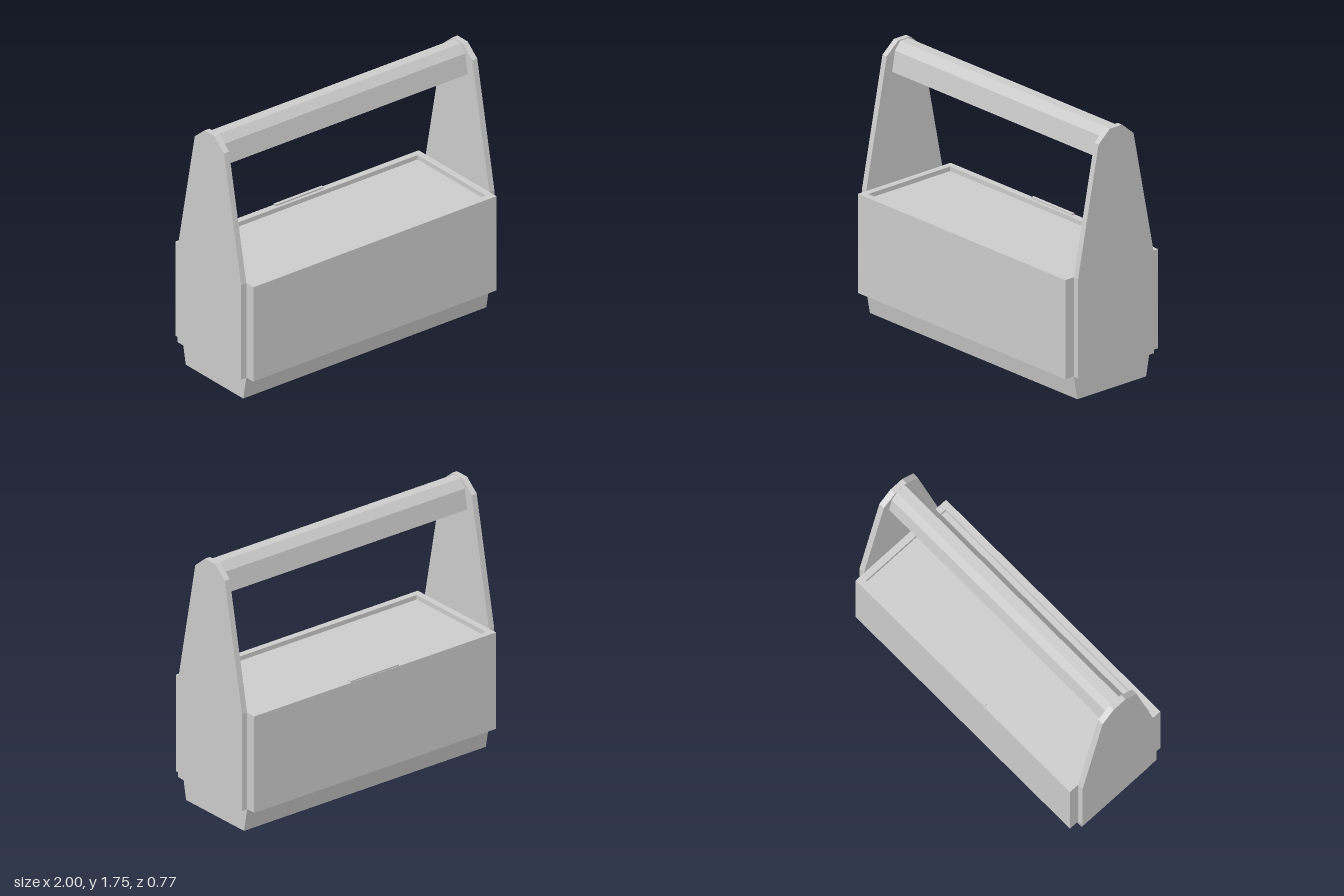
import * as THREE from 'three';

const material = new THREE.MeshStandardMaterial({ color: 0xcccccc, flatShading: true });

// Extrude a (z, y) profile along x, centred on the given x.
function extrudeAlongX(name, points, length, x = 0) {
  const shape = new THREE.Shape(points.map(([z, y]) => new THREE.Vector2(-z, y)));
  const geometry = new THREE.ExtrudeGeometry(shape, { depth: length, bevelEnabled: false });
  geometry.translate(0, 0, -length / 2);
  geometry.rotateY(Math.PI / 2);
  geometry.translate(x, 0, 0);
  const mesh = new THREE.Mesh(geometry, material);
  mesh.name = name;
  return mesh;
}

function box(name, w, h, d, x, y, z) {
  const mesh = new THREE.Mesh(new THREE.BoxGeometry(w, h, d), material);
  mesh.name = name;
  mesh.position.set(x, y, z);
  return mesh;
}

// Complete a half profile by mirroring it across z = 0.
const mirrored = (half) => [...half, ...half.map(([z, y]) => [-z, y]).reverse()];

function rectangle(Type, w, d) {
  return new Type([[-w, -d], [w, -d], [w, d], [-w, d]].map(([x, y]) => new THREE.Vector2(x, y)));
}

export function createModel() {
  const group = new THREE.Group();
  group.name = 'toolbox';

  // Tapered plinth
  group.add(extrudeAlongX('base', mirrored([[0.285, 0], [0.315, 0.158]]), 1.92));

  // Main box with a raised rim around the sunken lid
  group.add(box('body', 1.92, 0.63, 0.77, 0, 0.475, 0));
  const rimShape = rectangle(THREE.Shape, 0.96, 0.385);
  rimShape.holes.push(rectangle(THREE.Path, 0.915, 0.34));
  const rimGeometry = new THREE.ExtrudeGeometry(rimShape, { depth: 0.03, bevelEnabled: false });
  rimGeometry.rotateX(-Math.PI / 2);
  const rim = new THREE.Mesh(rimGeometry, material);
  rim.name = 'lidRim';
  rim.position.y = 0.79;
  group.add(rim);

  // Small finger tab on the back rim
  group.add(box('lidTab', 0.38, 0.012, 0.022, 0, 0.824, -0.371));

  // Tall end plates with clipped tops
  const plate = mirrored([[0.315, 0.158], [0.315, 0.82], [0.145, 1.67], [0.05, 1.75]]);
  for (const side of [-1, 1]) {
    group.add(extrudeAlongX(side > 0 ? 'leftEndPlate' : 'rightEndPlate', plate, 0.04, side * 0.98));
  }

  // Handle: an inverted channel, open underneath
  const outer = mirrored([[0.1, 1.555], [0.077, 1.69], [0.034, 1.745]]);
  const inner = mirrored([[0.085, 1.555], [0.062, 1.66], [0.028, 1.71]]).reverse();
  group.add(extrudeAlongX('handle', [...outer, ...inner], 1.92));

  return group;
}
